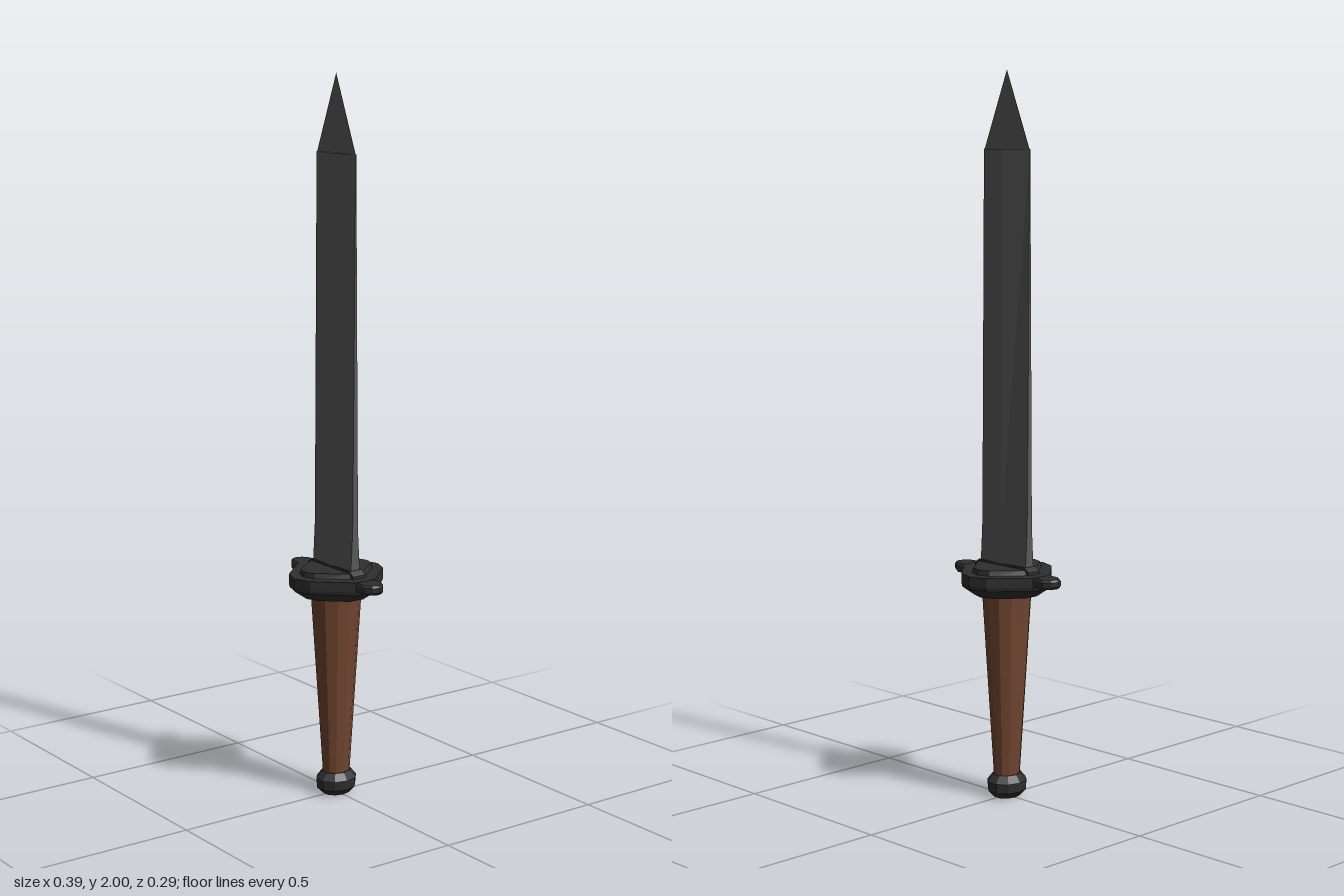
import * as THREE from 'three';

const mat = (name, color) => {
  const m = new THREE.MeshStandardMaterial({ color });
  m.name = name;
  return m;
};

// Closed solid through rings of [x, z] points; each section is { y, ring }.
// Rings run anticlockwise seen from above; all share one point count.
function loft(sections) {
  const pos = [];
  const v = (s, i) => {
    const [x, z] = s.ring[i % s.ring.length];
    return [x, s.y, z];
  };
  const n = sections[0].ring.length;
  for (let k = 0; k < sections.length - 1; k++) {
    const a = sections[k], b = sections[k + 1];
    for (let i = 0; i < n; i++) {
      pos.push(...v(a, i), ...v(a, i + 1), ...v(b, i + 1));
      pos.push(...v(a, i), ...v(b, i + 1), ...v(b, i));
    }
  }
  const lo = sections[0], hi = sections[sections.length - 1];
  for (let i = 0; i < n; i++) {
    pos.push(0, lo.y, 0, ...v(lo, i + 1), ...v(lo, i));
    pos.push(0, hi.y, 0, ...v(hi, i), ...v(hi, i + 1));
  }
  const g = new THREE.BufferGeometry();
  g.setAttribute('position', new THREE.Float32BufferAttribute(pos, 3));
  g.computeVertexNormals();
  return g;
}

const ellipse = (rx, rz, n) => Array.from({ length: n }, (_, i) => {
  const t = (i / n) * Math.PI * 2;
  return [rx * Math.cos(t), -rz * Math.sin(t)];
});

// Six-sided blade section: two ridges and two edges of given thickness
const bladeRing = (w, edge, ridge) =>
  [[w, edge], [w, -edge], [0, -ridge], [-w, -edge], [-w, edge], [0, ridge]];

// Mirrors a quarter outline, given from +x towards -z, into a full ring
function mirrorRing(quarter) {
  const half = [...quarter, ...quarter.filter(p => p[0] > 0).reverse().map(([x, z]) => [-x, z])];
  return [...half, ...[...half].reverse().map(([x, z]) => [x, -z])];
}

export function createModel() {
  const group = new THREE.Group();
  const steel = mat('steel', 0x595959);
  const iron = mat('dark iron', 0x2f2f2f);
  const wood = mat('brown grip', 0x70452f);
  const add = (name, geometry, material) => {
    const m = new THREE.Mesh(geometry, material);
    m.name = name;
    group.add(m);
    return m;
  };

  // Blade: thick at the base, a sharp diamond higher up
  add('blade', loft([
    { y: 0.64, ring: bladeRing(0.088, 0.016, 0.021) },
    { y: 0.77, ring: bladeRing(0.088, 0.009, 0.021) },
    { y: 1.79, ring: bladeRing(0.088, 0.001, 0.021) },
  ]), steel);
  // Thin flat point
  add('bladeTip', loft([
    { y: 1.785, ring: bladeRing(0.087, 0.001, 0.005) },
    { y: 2.0, ring: bladeRing(0, 0, 0) },
  ]), steel);

  // Guard body with a narrowing underside
  const body = mirrorRing([[0.135, -0.033], [0.05, -0.125], [0, -0.143]]);
  const scaled = s => body.map(([x, z]) => [x * s, z * s]);
  add('guard', loft([
    { y: 0.578, ring: scaled(0.7) },
    { y: 0.605, ring: scaled(0.98) },
    { y: 0.615, ring: body },
    { y: 0.642, ring: body },
  ]), iron);
  // Raised step on top of the guard
  const step = mirrorRing([[0.1, -0.02], [0.035, -0.1], [0, -0.111]]);
  add('guardStep', loft([
    { y: 0.64, ring: step },
    { y: 0.656, ring: step.map(([x, z]) => [x * 0.92, z * 0.97]) },
  ]), iron);
  // Collar round the blade base
  const collar = (w, d) => [[w, d], [w, -d], [-w, -d], [-w, d]];
  add('bladeCollar', loft([
    { y: 0.635, ring: collar(0.106, 0.021) },
    { y: 0.65, ring: collar(0.106, 0.021) },
    { y: 0.662, ring: collar(0.09, 0.021) },
  ]), iron);

  // Rounded side lugs of the guard
  const lug = [[0.12, 0.032], [0.17, 0.032], [0.19, 0.018], [0.197, 0],
    [0.19, -0.018], [0.17, -0.032], [0.12, -0.032]];
  const inset = lug.map(([x, z]) => [0.12 + (x - 0.12) * 0.93, z * 0.9]);
  for (const side of [1, -1]) {
    const turn = ring => ring.map(([x, z]) => [x * side, z * side]);
    add(side > 0 ? 'leftLug' : 'rightLug', loft([
      { y: 0.615, ring: turn(inset) },
      { y: 0.622, ring: turn(lug) },
      { y: 0.635, ring: turn(lug) },
      { y: 0.641, ring: turn(inset) },
    ]), iron);
  }

  // Tapered oval grip
  add('grip', loft([
    { y: 0.05, ring: ellipse(0.032, 0.039, 12) },
    { y: 0.585, ring: ellipse(0.066, 0.073, 12) },
  ]), wood);

  // Faceted pommel
  const pommel = [[0, 0.034], [0.018, 0.05], [0.045, 0.052], [0.065, 0.037]];
  add('pommel', loft(pommel.map(([y, r]) => ({ y, ring: ellipse(r, r * 1.16, 10) }))), iron);

  return group;
}
